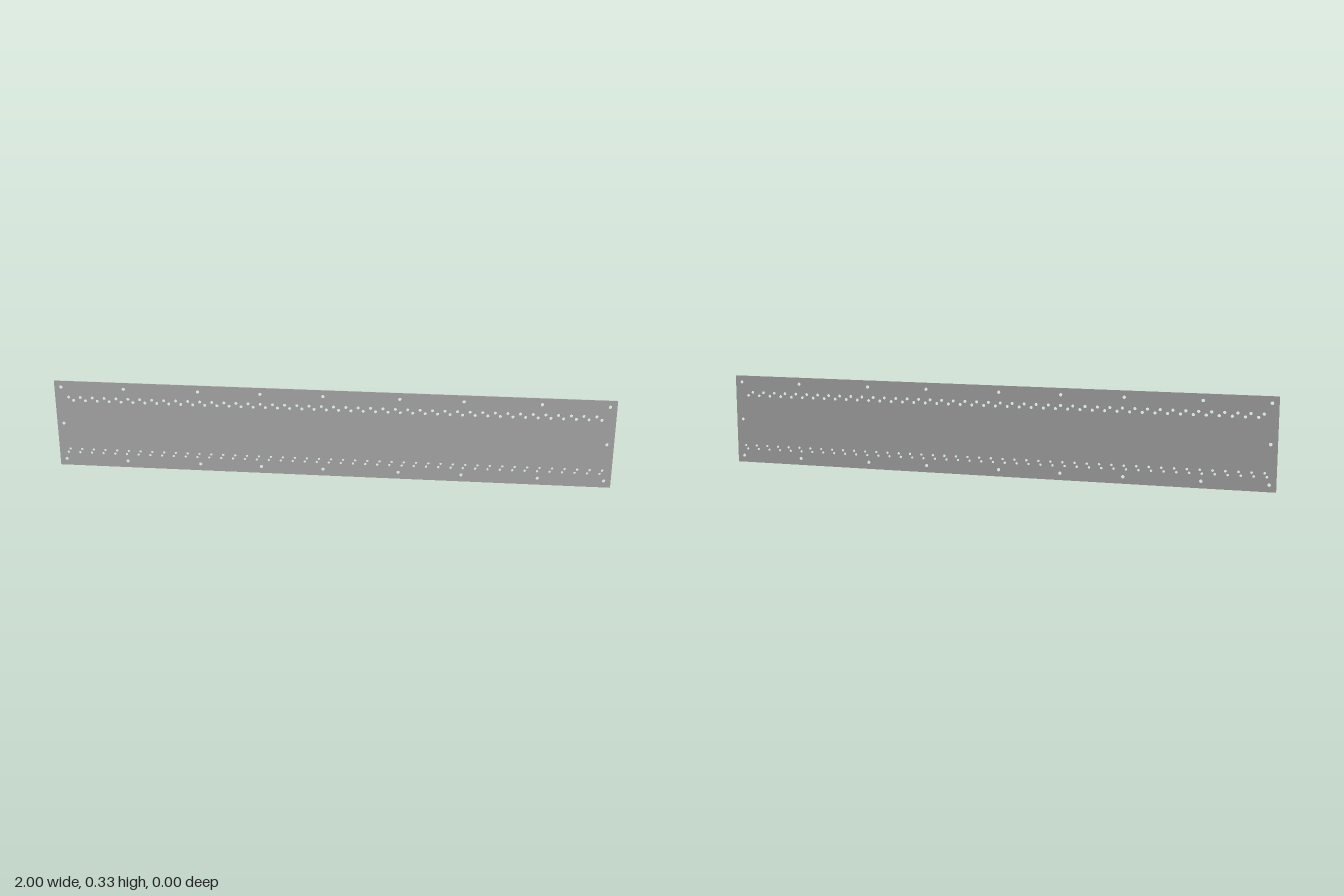
import * as THREE from 'three';

const WIDTH = 2, HEIGHT = 0.33, THICKNESS = 0.003;

export function createModel() {
  const group = new THREE.Group();
  group.name = 'perforatedPanel';

  // Plate outline
  const outline = new THREE.Shape();
  outline.moveTo(-WIDTH / 2, 0);
  outline.lineTo(WIDTH / 2, 0);
  outline.lineTo(WIDTH / 2, HEIGHT);
  outline.lineTo(-WIDTH / 2, HEIGHT);
  outline.closePath();

  const drill = (x, y, radius) => {
    const hole = new THREE.Path();
    hole.absarc(x, y, radius, 0, Math.PI * 2, true);
    outline.holes.push(hole);
  };

  // Mounting holes along the top and bottom edges, and halfway up both ends
  for (const x of [-0.976, -0.746, -0.475, -0.25, -0.025, 0.247, 0.472, 0.743, 0.976]) {
    drill(x, 0.306, 0.006);
    drill(x, 0.025, 0.006);
  }
  for (const x of [-0.976, 0.976]) drill(x, 0.165, 0.006);

  // Upper staggered row: a diagonal pair of holes at each pitch
  const pitch = 0.0438;
  for (let i = 0; i < 44; i++) {
    const x = (i - 21.5) * pitch;
    drill(x - 0.009, 0.268, 0.0055);
    drill(x + 0.009, 0.256, 0.0055);
  }

  // Lower row: smaller, nearly upright pairs
  for (let i = 0; i < 45; i++) {
    const x = (i - 22) * pitch;
    drill(x + 0.004, 0.065, 0.0045);
    drill(x - 0.004, 0.052, 0.0045);
  }

  const geometry = new THREE.ExtrudeGeometry(outline, {
    depth: THICKNESS, bevelEnabled: false, curveSegments: 14,
  });
  geometry.translate(0, 0, -THICKNESS / 2);
  const plate = new THREE.Mesh(geometry, new THREE.MeshStandardMaterial({ color: 0xcccccc }));
  plate.name = 'drilledPlate';
  group.add(plate);
  return group;
}
